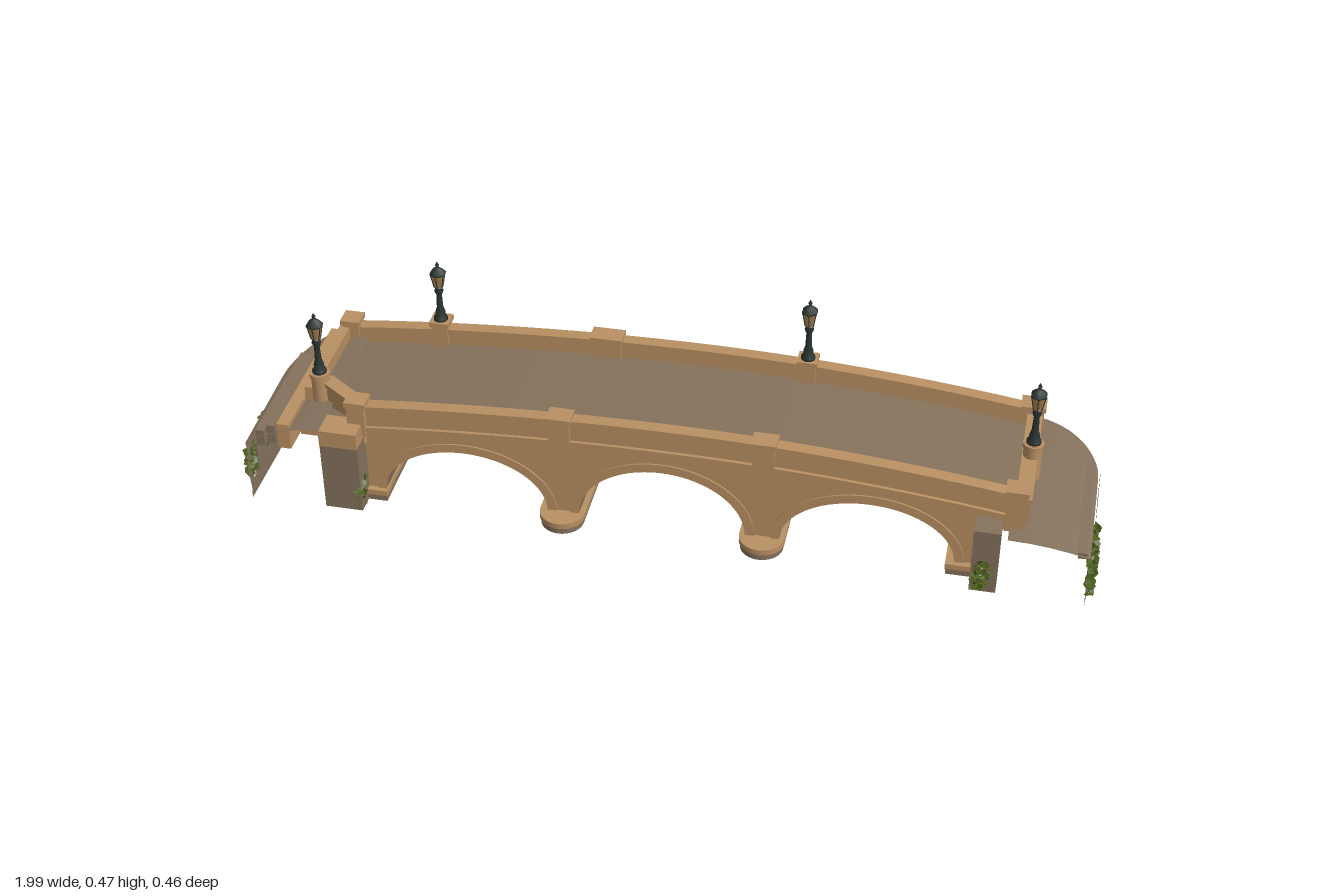
import * as THREE from 'three';
import { mergeGeometries } from 'three/addons/utils/BufferGeometryUtils.js';

const mat = (name, color, side = THREE.FrontSide) => {
  const m = new THREE.MeshStandardMaterial({ color, side });
  m.name = name;
  return m;
};

// height of the parapet top along the bridge
const crest = x => 0.31 - (x < 0 ? 0.05 * (x / 0.84) ** 2 : 0.06 * (x / 0.82) ** 2);
const ARCHES = [[-0.465, 0.195, 0.135], [0, 0.195, 0.15], [0.475, 0.2, 0.135]];
const SPRING = 0.04, BASE = 0.012, FRONT = 0.15, BACK = -0.195;

export function createModel() {
  const g = new THREE.Group();
  const sand = mat('sandstone', 0xb88f62);
  const road = mat('roadStone', 0x85715b);
  const rock = mat('abutmentStone', 0x85725d, THREE.DoubleSide);
  const iron = mat('darkIron', 0x2a3532);
  const glass = mat('amberGlass', 0xa88050);
  const ivy = mat('ivy', 0x4d5f1c, THREE.DoubleSide);
  const moss = mat('moss', 0x6b6a38, THREE.DoubleSide);

  let seed = 7;
  const rnd = () => (seed = (seed * 16807) % 2147483647) / 2147483647;

  const add = (name, geo, m, x = 0, y = 0, z = 0, parent = g) => {
    const mesh = new THREE.Mesh(geo, m);
    mesh.name = name;
    mesh.position.set(x, y, z);
    parent.add(mesh);
    return mesh;
  };
  // box given by its base height and top height
  const block = (name, m, w, d, y0, y1, x, z) =>
    add(name, new THREE.BoxGeometry(w, y1 - y0, d), m, x, (y0 + y1) / 2, z);
  const extrude = (shape, depth) =>
    new THREE.ExtrudeGeometry(shape, { depth, bevelEnabled: false, curveSegments: 24 });

  // arched body: sandstone faces, grey road and vaults
  const body = new THREE.Shape();
  body.moveTo(-0.86, 0.17).lineTo(-0.74, 0.17).lineTo(-0.74, BASE);
  for (const [cx, r, h] of ARCHES) {
    body.lineTo(cx - r, BASE);
    for (let i = 0; i <= 24; i++) {
      const a = Math.PI * (1 - i / 24);
      body.lineTo(cx + r * Math.cos(a), SPRING + h * Math.sin(a));
    }
    body.lineTo(cx + r, BASE);
  }
  body.lineTo(0.74, BASE).lineTo(0.74, 0.15).lineTo(0.81, 0.15);
  for (let i = 0; i <= 24; i++) {
    const x = 0.81 - 1.67 * i / 24;
    body.lineTo(x, crest(x) - 0.045);
  }
  add('archedBody', extrude(body, FRONT - BACK), [sand, road], 0, 0, BACK);

  // raised ring around every arch on both faces
  for (const [cx, r, h] of ARCHES) {
    const ring = new THREE.Shape();
    ring.absellipse(0, 0, r + 0.022, h + 0.022, 0, Math.PI, false);
    ring.lineTo(-r, 0);
    ring.absellipse(0, 0, r, h, Math.PI, 0, true);
    for (const z of [FRONT - 0.002, BACK - 0.004])
      add('archRing', extrude(ring, 0.006), sand, cx, SPRING, z);
  }

  // strips that follow the crest: string course, wall, coping
  const strip = (name, x0, x1, lo, hi, z, depth) => {
    const s = new THREE.Shape(), n = 20;
    for (let i = 0; i <= n; i++) {
      const x = x0 + (x1 - x0) * i / n;
      i ? s.lineTo(x, crest(x) + lo) : s.moveTo(x, crest(x) + lo);
    }
    for (let i = n; i >= 0; i--) {
      const x = x0 + (x1 - x0) * i / n;
      s.lineTo(x, crest(x) + hi);
    }
    add(name, extrude(s, depth), sand, 0, 0, z - depth / 2);
  };
  for (const [z, x0, out] of [[0.142, -0.71, 1], [-0.187, -0.84, -1]]) {
    strip('parapet', x0, 0.82, -0.06, -0.012, z, 0.022);
    strip('coping', x0, 0.82, -0.013, 0, z, 0.031);
    strip('stringCourse', x0, 0.82, -0.07, -0.056, z + out * 0.006, 0.026);
  }

  // end parapets and the splayed corner
  block('rightEndParapet', sand, 0.028, 0.35, 0.165, 0.232, 0.815, -0.022);
  block('rightEndCoping', sand, 0.036, 0.355, 0.232, 0.245, 0.815, -0.022);
  block('leftEndParapet', sand, 0.026, 0.29, 0.17, 0.262, -0.85, -0.055);
  block('leftEndStep', sand, 0.03, 0.4, 0.17, 0.237, -0.878, 0.01);
  block('splayedParapet', sand, 0.14, 0.026, 0.17, 0.272, -0.757, 0.112).rotation.y = -0.62;
  block('splayedCoping', sand, 0.14, 0.034, 0.272, 0.282, -0.757, 0.112).rotation.y = -0.62;

  // parapet posts with caps: x, z, width, bottom, top
  const post = (x, z, w, y0, y1) => {
    block('parapetPost', sand, w, 0.042, y0, y1 - 0.012, x, z);
    block('postCap', sand, w + 0.008, 0.048, y1 - 0.012, y1, x, z);
  };
  [[-0.715, 0.147, 0.042, 0.2, 0.291], [-0.2, -0.187, 0.07, 0.235, 0.317],
    [-0.235, 0.144, 0.05, 0.235, 0.314], [0.235, 0.144, 0.05, 0.235, 0.314],
    [-0.61, -0.187, 0.04, 0.22, 0.306], [0.28, -0.187, 0.04, 0.235, 0.316],
    [0.81, -0.187, 0.05, 0.165, 0.265], [0.8, 0.152, 0.045, 0.165, 0.275],
    [-0.835, -0.187, 0.04, 0.2, 0.281]].forEach(p => post(...p));

  // pier footings, rounded at the front
  for (const x of [-0.235, 0.235]) {
    for (const [name, m, r, y0, y1] of [['footing', rock, 0.05, BASE, 0.028], ['footingCap', sand, 0.053, 0.028, 0.042]]) {
      const s = new THREE.Shape();
      s.moveTo(-r, 0.205).lineTo(-r, -FRONT);
      s.absarc(0, -FRONT, r, Math.PI, Math.PI * 2, false);
      s.lineTo(r, 0.205);
      const geo = extrude(s, y1 - y0).rotateX(-Math.PI / 2);
      add(name, geo, m, x, y0, 0);
    }
  }
  for (const s of [-1, 1]) {
    block('endFooting', rock, 0.085, 0.37, BASE, 0.028, s * 0.7, -0.022);
    block('endFootingCap', sand, 0.089, 0.375, 0.028, 0.042, s * 0.7, -0.022);
  }

  // hollow abutments: a curved outer wall and a sloping terrace, open in front
  const abutment = s => {
    const path = [[0.79, -0.195], [0.79, -0.232]];
    for (let i = 1; i <= 10; i++) {
      const a = Math.PI / 2 * i / 10;
      path.push([0.79 + 0.183 * Math.sin(a), -0.05 - 0.182 * Math.cos(a)]);
    }
    for (let i = 1; i <= 6; i++) path.push([0.973, -0.05 + 0.264 * i / 6]);
    const inner = z => s > 0 ? 0.185 - 0.06 * z : 0.235;
    const outer = z => s > 0 ? 0.167 - 0.09 * z : 0.18 - 0.03 * z;
    const sheet = (name, rows, at) => {
      const pos = [], idx = [];
      path.forEach(([x, z], i) => {
        for (let j = 0; j <= rows; j++) {
          pos.push(...at(x, z, j / rows));
          if (i && j) {
            const b = i * (rows + 1) + j, a = b - rows - 1;
            idx.push(a - 1, b - 1, b, a - 1, b, a);
          }
        }
      });
      const geo = new THREE.BufferGeometry();
      geo.setAttribute('position', new THREE.Float32BufferAttribute(pos, 3));
      geo.setIndex(s > 0 ? idx : idx.reverse());
      geo.computeVertexNormals();
      add(name, geo, rock);
    };
    const edge = (x, z) => {
      const t = (x - 0.79) / 0.183;
      return inner(z) + (outer(z) - inner(z)) * t * t;
    };
    sheet('abutmentWall', 5, (x, z, v) => {
      const bulge = v > 0 && v < 1 ? (rnd() - 0.5) * 0.005 : 0;
      return [s * (x + bulge), BASE + (edge(x, z) - BASE) * v, z + 0.006 * v * (z < -0.1 ? 1 : 0)];
    });
    sheet('terrace', 4, (x, z, v) => {
      const px = 0.79 + (x - 0.79) * v;
      return [s * px, edge(px, z), z + (z < -0.1 ? 0.006 : 0)];
    });
  };
  abutment(1);
  abutment(-1);
  block('leftWing', rock, 0.09, 0.062, BASE, 0.19, -0.748, 0.178);
  block('leftWingCap', sand, 0.09, 0.066, 0.19, 0.232, -0.748, 0.178);
  block('rightWing', rock, 0.06, 0.058, BASE, 0.18, 0.745, 0.178);
  // worn ledges on the left terrace
  block('terraceLedge', rock, 0.02, 0.36, 0.18, 0.23, -0.908, 0.03);
  block('terraceLedge', rock, 0.02, 0.32, 0.17, 0.212, -0.936, 0.05);
  // rim along the right terrace
  block('terraceRim', rock, 0.02, 0.3, -0.008, 0.008, 0.955, 0.06).rotation.x = 0.085;
  g.children.at(-1).position.y = 0.164;

  // ivy clumps: centre and spread
  const leaves = (n, c, d) => {
    const parts = [];
    for (let i = 0; i < n; i++) {
      const leaf = new THREE.CircleGeometry(0.006 + rnd() * 0.005, 5);
      leaf.rotateX(rnd() * 3).rotateY(rnd() * 6);
      leaf.translate(...c.map((v, k) => v + (rnd() + rnd() - 1) * d[k]));
      parts.push(leaf);
    }
    add('ivy', mergeGeometries(parts), ivy);
  };
  leaves(150, [0.979, 0.108, 0.165], [0.008, 0.024, 0.05]);
  leaves(80, [0.979, 0.092, 0.075], [0.008, 0.038, 0.028]);
  leaves(50, [0.979, 0.075, 0.208], [0.008, 0.035, 0.012]);
  leaves(120, [-0.979, 0.115, 0.065], [0.01, 0.05, 0.04]);
  leaves(100, [-0.977, 0.1, 0.185], [0.01, 0.05, 0.03]);
  leaves(110, [0.74, 0.06, 0.207], [0.022, 0.048, 0.012]);
  leaves(60, [-0.708, 0.06, 0.195], [0.01, 0.045, 0.02]);
  const patch = new THREE.Shape([[-0.06, 0.118], [-0.04, 0.13], [0.1, 0.15], [0.11, 0.138], [0.06, 0.112]]
    .map(p => new THREE.Vector2(...p)));
  add('mossPatch', new THREE.ShapeGeometry(patch).rotateY(Math.PI / 2), moss, 0.978, 0, 0);

  // street lamps
  const stem = [[0, 0], [0.017, 0], [0.017, 0.006], [0.012, 0.012], [0.012, 0.022], [0.008, 0.034], [0.0065, 0.072],
    [0.009, 0.076], [0.011, 0.082], [0.008, 0.088], [0.012, 0.094], [0, 0.095]].map(p => new THREE.Vector2(...p));
  const top = [[0.02, 0.128], [0.02, 0.132], [0.012, 0.141], [0.006, 0.145], [0.003, 0.149], [0.005, 0.153], [0, 0.163]]
    .map(p => new THREE.Vector2(...p));
  const lamp = (x, y, z) => {
    const l = new THREE.Group();
    l.name = 'streetLamp';
    l.position.set(x, y, z);
    g.add(l);
    add('lampStem', new THREE.LatheGeometry(stem, 12), iron, 0, 0, 0, l);
    add('lanternGlass', new THREE.CylinderGeometry(0.0175, 0.011, 0.034, 6).toNonIndexed(), glass, 0, 0.111, 0, l);
    add('lanternRoof', new THREE.LatheGeometry([new THREE.Vector2(0, 0.128), ...top], 6), iron, 0, 0, 0, l);
    for (let i = 0; i < 6; i++) {
      const a = i * Math.PI / 3;
      const bar = new THREE.CylinderGeometry(0.0013, 0.0013, 0.036, 5);
      bar.rotateX(0.19).translate(0, 0.111, 0.0145).rotateY(a);
      add('lanternBar', bar, iron, 0, 0, 0, l);
    }
  };
  lamp(-0.825, 0.305, 0.08);
  lamp(-0.61, 0.306, -0.185);
  lamp(0.28, 0.316, -0.185);
  lamp(0.82, 0.28, -0.012);
  // pedestals of the end lamps
  for (const [x, z, y0, y1] of [[-0.825, 0.08, 0.18, 0.305], [0.82, -0.012, 0.17, 0.28]]) {
    add('lampPedestal', new THREE.CylinderGeometry(0.021, 0.022, y1 - y0, 16), sand, x, (y0 + y1) / 2, z);
    add('pedestalCap', new THREE.CylinderGeometry(0.024, 0.024, 0.01, 16), sand, x, y1 - 0.006, z);
  }
  return g;
}
